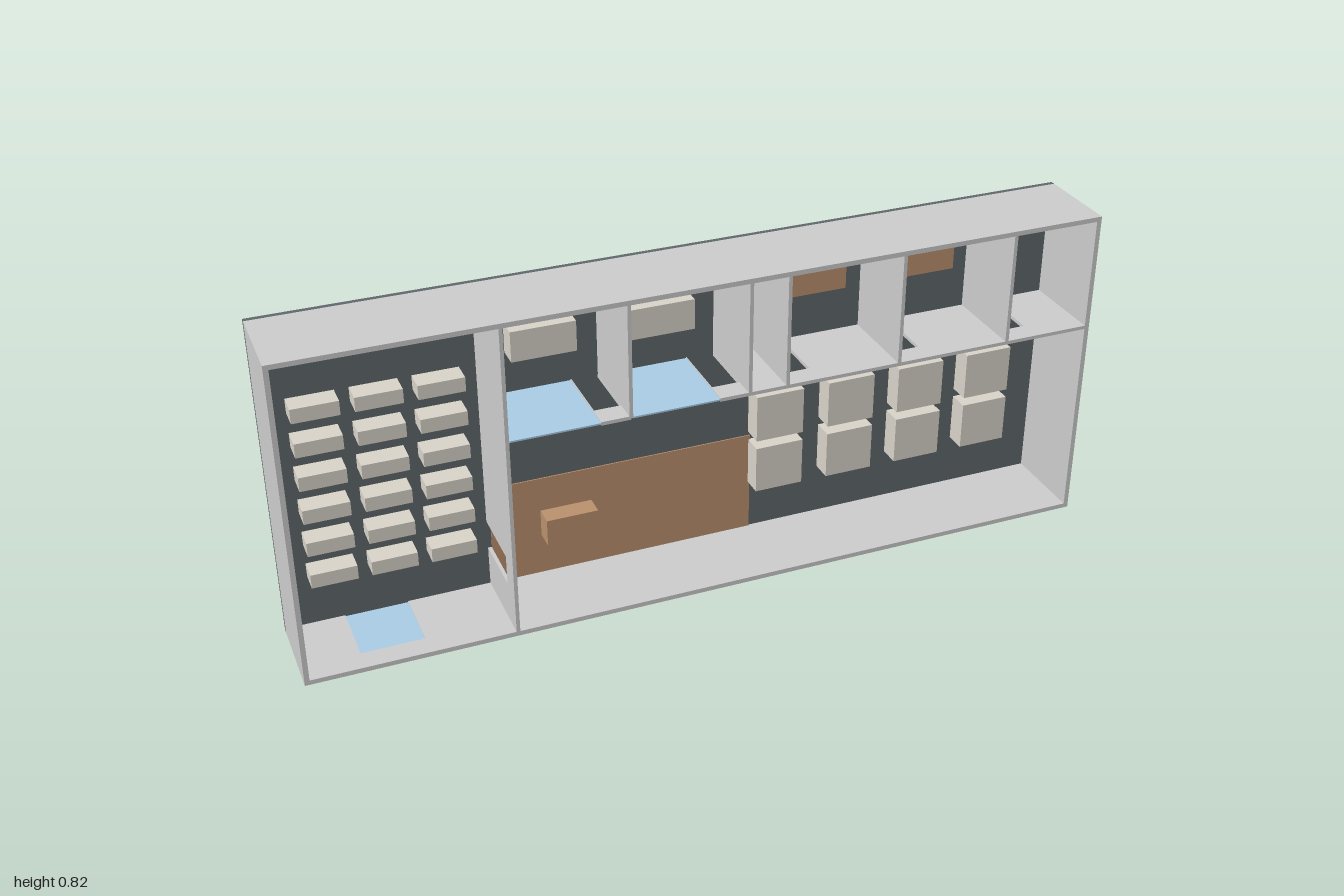
import * as THREE from 'three';

const GREY = 0xcccccc, FLOOR = 0x5f676b, PALE = 0xd8d2c8, WOOD = 0xb98f6c, GLASS = 0xa9cbe4;
const H = 0.823, FRONT = 0.114, BACK = -0.114, BASE = -0.102;
const OUTER = 0.012, INNER = 0.009, DOOR_TOP = 0.058;

const materials = {};
const material = (color) => (materials[color] ??= new THREE.MeshStandardMaterial({ color }));

export function createModel() {
  const model = new THREE.Group();
  model.name = 'officeFloor';

  const add = (name, geometry, color) => {
    const mesh = new THREE.Mesh(geometry, material(color));
    mesh.name = name;
    model.add(mesh);
    return mesh;
  };

  // Box given by its limits on each axis
  const box = (name, x0, x1, y0, y1, z0, z1, color) =>
    add(name, new THREE.BoxGeometry(x1 - x0, y1 - y0, z1 - z0), color)
      .position.set((x0 + x1) / 2, (y0 + y1) / 2, (z0 + z1) / 2);

  // Wall standing on the floor slab, with door notches [start, end] along its run
  const wall = (name, axis, from, to, at, thickness, doors = []) => {
    const shape = new THREE.Shape();
    shape.moveTo(from, BASE);
    for (const [a, b] of doors) {
      shape.lineTo(a, BASE);
      shape.lineTo(a, DOOR_TOP);
      shape.lineTo(b, DOOR_TOP);
      shape.lineTo(b, BASE);
    }
    shape.lineTo(to, BASE);
    shape.lineTo(to, FRONT);
    shape.lineTo(from, FRONT);
    const geometry = new THREE.ExtrudeGeometry(shape, { depth: thickness, bevelEnabled: false });
    geometry.translate(0, 0, -thickness / 2);
    const X = new THREE.Vector3(1, 0, 0), Y = new THREE.Vector3(0, 1, 0), Z = new THREE.Vector3(0, 0, 1);
    const basis = new THREE.Matrix4();
    if (axis === 'x') basis.makeBasis(X, Z, Y.negate());
    else basis.makeBasis(Y, Z, X);
    geometry.applyMatrix4(basis);
    if (axis === 'x') geometry.translate(0, at, 0);
    else geometry.translate(at, 0, 0);
    add(name, geometry, GREY);
  };

  // Floor slab and carpet
  box('floorSlab', -1, 1, 0, H, BACK, BASE, FLOOR);
  box('carpet', -0.49, 0.185, OUTER, 0.28, BASE, BASE + 0.003, WOOD);

  // Outer walls, with the entrance in the lower one
  const o = OUTER / 2;
  wall('lowerOuterWall', 'x', -1, 1, o, OUTER, [[-0.858, -0.705]]);
  wall('upperOuterWall', 'x', -1, 1, H - o, OUTER);
  for (const s of [-1, 1]) wall('sideOuterWall', 'y', OUTER, H - OUTER, s * (1 - o), OUTER);
  box('entranceDoor', -0.858, -0.705, 0.004, 0.009, BASE, DOOR_TOP, GLASS);

  // Full-height divider with its doorway
  const WALL_Y = 0.528, DIVIDER_X = -0.495;
  wall('mainDivider', 'y', OUTER, H - OUTER, DIVIDER_X, INNER, [[0.115, 0.19]]);

  // Wall in front of the upper rooms: glazed offices, then solid rooms
  for (const [x0, x1, x2] of [[-0.49, -0.275, -0.203], [-0.199, 0.015, 0.09]]) {
    box('officeGlass', x0, x1, WALL_Y - 0.002, WALL_Y + 0.002, BASE, FRONT, GLASS);
    wall('officeDoorWall', 'x', x1, x2, WALL_Y, INNER, [[x1 + 0.002, x2 - 0.005]]);
  }
  wall('roomFrontWall', 'x', 0.09, 1 - OUTER, WALL_Y, INNER,
    [[0.19, 0.265], [0.481, 0.556], [0.773, 0.848]]);
  for (const x of [-0.203, 0.09, 0.185, 0.476, 0.768])
    wall('roomDivider', 'y', WALL_Y, H - OUTER, x, INNER);

  // Furniture, all of one height
  const furniture = (name, x, y, w, d, color) =>
    box(name, x - w / 2, x + w / 2, y - d / 2, y + d / 2, BASE, -0.048, color);

  for (let row = 0; row < 6; row++)
    for (let col = 0; col < 3; col++)
      furniture('rowDesk', -0.88 + col * 0.143, 0.163 + row * 0.0877, 0.11, 0.036, PALE);

  for (let col = 0; col < 4; col++)
    for (const y of [0.207, 0.352])
      furniture('workstation', 0.243 + col * 0.193, y, 0.125, 0.123, PALE);

  for (const x of [-0.352, -0.062]) furniture('officeDesk', x, 0.673, 0.157, 0.077, PALE);
  for (const x of [0.335, 0.626]) furniture('meetingTable', x, 0.703, 0.142, 0.067, WOOD);
  furniture('receptionDesk', -0.3, 0.155, 0.13, 0.07, WOOD);

  return model;
}
